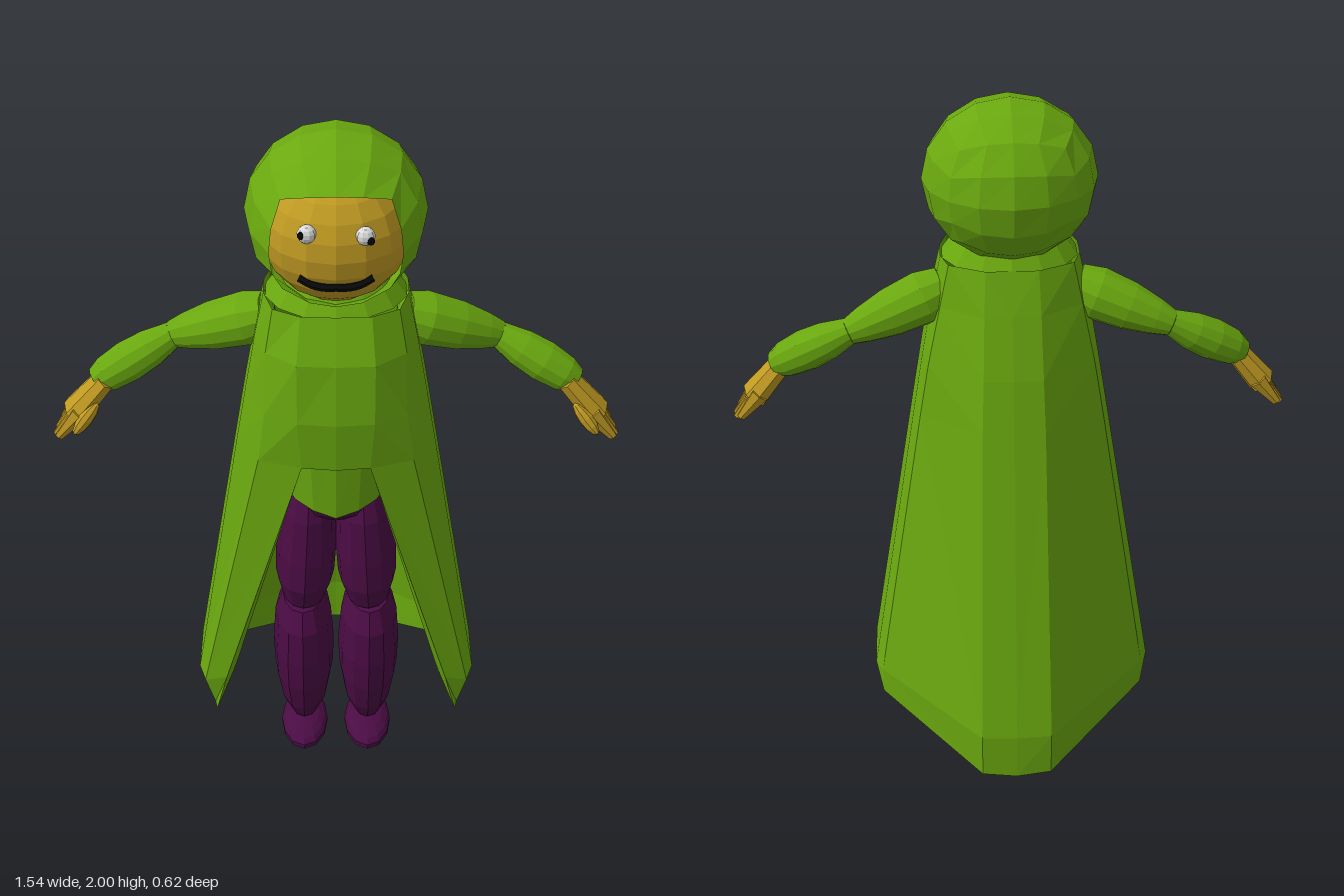
import * as THREE from 'three';

const mat = (name, color, side = THREE.FrontSide) => {
  const m = new THREE.MeshStandardMaterial({ color, side, flatShading: true });
  m.name = name;
  return m;
};

export function createModel() {
  const root = new THREE.Group();
  root.name = 'hoodedFigure';
  const green = mat('robe green', 0x6aa80f, THREE.DoubleSide);
  const skin = mat('ochre skin', 0xbf9922);
  const purple = mat('dark purple', 0x4a0c44);
  const white = mat('eye white', 0xdcdcdc);
  const black = mat('black', 0x080808);

  const add = (name, geo, m, pos = [0, 0, 0], parent = root) => {
    const mesh = new THREE.Mesh(geo, m);
    mesh.name = name;
    mesh.position.set(...pos);
    parent.add(mesh);
    return mesh;
  };
  const ball = (name, m, pos, rad, seg = 12, parent = root) => {
    const g = new THREE.SphereGeometry(1, seg, Math.ceil(seg * 0.7)).scale(...rad);
    return add(name, g, m, pos, parent);
  };
  // Tapered limb from a to b; profile holds [radius, fraction along]
  const limb = (name, m, a, b, profile, depth = 1) => {
    const A = new THREE.Vector3(...a), d = new THREE.Vector3(...b).sub(A);
    const pts = profile.map(([r, t]) => new THREE.Vector2(r, t * d.length()));
    const mesh = add(name, new THREE.LatheGeometry(pts, 12).scale(1, 1, depth), m, a);
    mesh.quaternion.setFromUnitVectors(new THREE.Vector3(0, 1, 0), d.normalize());
    return mesh;
  };
  // Skin neighbouring columns of points, mirrored across x
  const loft = (cols) => {
    const v = [];
    for (const s of [1, -1]) {
      for (let i = 0; i + 1 < cols.length; i++) {
        const n = Math.min(cols[i].length, cols[i + 1].length);
        for (let r = 0; r + 1 < n; r++) {
          const a = cols[i][r], b = cols[i][r + 1], c = cols[i + 1][r + 1], d = cols[i + 1][r];
          const order = s > 0 ? [a, b, c, a, c, d] : [a, c, b, a, d, c];
          for (const p of order) v.push(p[0] * s, p[1], p[2]);
        }
      }
    }
    const g = new THREE.BufferGeometry();
    g.setAttribute('position', new THREE.Float32BufferAttribute(v, 3));
    g.computeVertexNormals();
    return g;
  };

  // Cloak: columns from front centre round to back centre, upper rows at shared heights
  const heights = [1.57, 1.45, 1.28, 1.13];
  const col = (upper, lower = []) => [...upper.map(([x, z], i) => [x, heights[i], z]), ...lower];
  const cols = [
    col([[0, 0.24], [0, 0.285], [0, 0.305], [0, 0.295]]),
    col([[0.09, 0.235], [0.1, 0.28], [0.1, 0.295], [0.09, 0.285]], [[0.32, 0.3, 0.22], [0.355, 0.15, 0.2]]),
    col([[0.16, 0.2], [0.18, 0.22], [0.185, 0.25], [0.205, 0.25]], [[0.385, 0.27, 0.2], [0.36, 0.17, 0.19]]),
    col([[0.185, 0.12], [0.21, 0.14], [0.24, 0.15], [0.265, 0.15]], [[0.405, 0.27, 0.14], [0.37, 0.15, 0.13]]),
    col([[0.185, 0.05], [0.21, 0.05], [0.24, 0.04], [0.265, 0.03]], [[0.405, 0.27, -0.02], [0.38, 0.16, -0.01]]),
    col([[0.165, -0.01], [0.19, -0.015], [0.225, -0.025], [0.25, -0.03]], [[0.385, 0.27, -0.06], [0.385, 0.19, -0.06]]),
    col([[0.07, -0.055], [0.075, -0.085], [0.08, -0.125], [0.085, -0.15]], [[0.1, 0.2, -0.305], [0.1, 0.06, -0.3]]),
    col([[0, -0.055], [0, -0.09], [0, -0.13], [0, -0.155]], [[0, 0.2, -0.31], [0, 0.055, -0.31]]),
  ];
  add('cloak', loft(cols), green);
  // Folded-in front edges of the cloak
  const inner = [[0.09, 1.13, 0.28], [0.29, 0.3, 0.14], [0.305, 0.24, 0.13]];
  add('cloakFold', loft([inner, cols[1].slice(3)]), green);

  // Collar between hood and cloak
  add('collar', new THREE.CylinderGeometry(0.13, 0.185, 0.08, 14).scale(1, 1, 0.8), green, [0, 1.6, 0.09]);

  // Tunic with a hem that dips in the middle
  const tunic = new THREE.CylinderGeometry(0.16, 0.14, 0.26, 14, 1, true).scale(1, 1, 0.85);
  const tp = tunic.attributes.position;
  for (let i = 0; i < tp.count; i++) {
    if (tp.getY(i) < 0) tp.setY(i, -0.15 + 0.28 * Math.abs(tp.getX(i)));
  }
  add('tunic', tunic, green, [0, 1.1, 0.155]);

  // Hood: a rounded cube with its front side left open
  const hood = new THREE.BoxGeometry(2, 2, 2, 4, 4, 4);
  const hp = hood.attributes.position, v = new THREE.Vector3();
  for (let i = 0; i < hp.count; i++) {
    v.fromBufferAttribute(hp, i);
    for (const k of ['x', 'y', 'z']) v[k] = Math.tan(v[k] * Math.PI / 4);
    v.normalize();
    const front = Math.max(0, v.z);
    hp.setXYZ(i, v.x * 0.23, v.y * 0.217 - front * 0.025, v.z * (v.z > 0 ? 0.27 : 0.215));
  }
  const open = hood.groups[4], idx = [...hood.index.array];
  idx.splice(open.start, open.count);
  hood.setIndex(idx);
  hood.clearGroups();
  hood.computeVertexNormals();
  add('hood', hood, green, [0, 1.783, 0.065]);

  // Face
  const faceZ = (x, y) => 0.12 + 0.185 * Math.sqrt(1 - (x / 0.19) ** 2 - ((y - 1.763) / 0.185) ** 2);
  ball('face', skin, [0, 1.763, 0.12], [0.19, 0.185, 0.185], 16);
  ball('rightEye', white, [-0.07, 1.832, faceZ(0.07, 1.832)], [0.024, 0.024, 0.02], 10);
  ball('leftEye', white, [0.07, 1.828, faceZ(0.07, 1.828)], [0.024, 0.024, 0.02], 10);
  ball('rightPupil', black, [-0.083, 1.834, faceZ(0.083, 1.834) + 0.018], [0.01, 0.011, 0.009], 8);
  ball('leftPupil', black, [0.083, 1.822, faceZ(0.083, 1.822) + 0.018], [0.01, 0.011, 0.009], 8);
  const lip = [[-0.09, 1.71], [-0.06, 1.695], [-0.03, 1.69], [0, 1.692], [0.03, 1.69], [0.06, 1.695], [0.09, 1.71]]
    .map(([x, y]) => new THREE.Vector3(x, y, faceZ(x, y)));
  add('mouth', new THREE.TubeGeometry(new THREE.CatmullRomCurve3(lip), 16, 0.011, 6), black);

  // Hips
  ball('hips', purple, [0, 0.97, 0.14], [0.125, 0.1, 0.115]);

  for (const s of [1, -1]) {
    const side = s > 0 ? 'left' : 'right';
    // Leg
    limb(side + 'Thigh', purple, [0.093 * s, 0.56, 0.14], [0.07 * s, 1.04, 0.14],
      [[0, 0], [0.06, 0.03], [0.083, 0.2], [0.085, 0.4], [0.075, 0.7], [0.05, 0.92], [0, 1]], 1.35);
    limb(side + 'Shin', purple, [0.095 * s, 0.07, 0.105], [0.095 * s, 0.58, 0.14],
      [[0, 0], [0.045, 0.05], [0.07, 0.2], [0.086, 0.42], [0.088, 0.62], [0.08, 0.85], [0.058, 0.98], [0, 1]], 1.55);
    ball(side + 'Foot', purple, [0.095 * s, 0.045, 0.14], [0.07, 0.043, 0.12]);

    // Sleeve
    limb(side + 'UpperSleeve', green, [0.16 * s, 1.475, 0.065], [0.45 * s, 1.365, 0.008],
      [[0, 0], [0.06, 0.06], [0.073, 0.25], [0.066, 0.55], [0.05, 0.8], [0.036, 0.95], [0, 1]]);
    limb(side + 'LowerSleeve', green, [0.41 * s, 1.385, 0.01], [0.645 * s, 1.25, 0.06],
      [[0, 0], [0.034, 0.06], [0.052, 0.35], [0.057, 0.6], [0.05, 0.85], [0.036, 0.98], [0, 1]]);

    // Hand
    const hand = new THREE.Group();
    hand.name = side + 'Hand';
    hand.position.set(0.61 * s, 1.27, 0.065);
    hand.rotation.z = 0.69 * s;
    root.add(hand);
    add('palm', new THREE.CylinderGeometry(0.045, 0.058, 0.14, 8).scale(0.68, 1, 1), skin, [0, -0.075, 0], hand);
    for (let i = 0; i < 4; i++) {
      const len = [0.1, 0.115, 0.11, 0.09][i];
      const finger = add('finger', new THREE.CylinderGeometry(0.019, 0.009, len, 6), skin,
        [0, -0.12 - len / 2, 0.042 - i * 0.028], hand);
      finger.scale.x = 1.35;
    }
    const thumb = ball('thumb', skin, [-0.018 * s, -0.115, 0.056], [0.02, 0.055, 0.018], 8, hand);
    thumb.rotation.x = -0.3;
  }
  return root;
}
